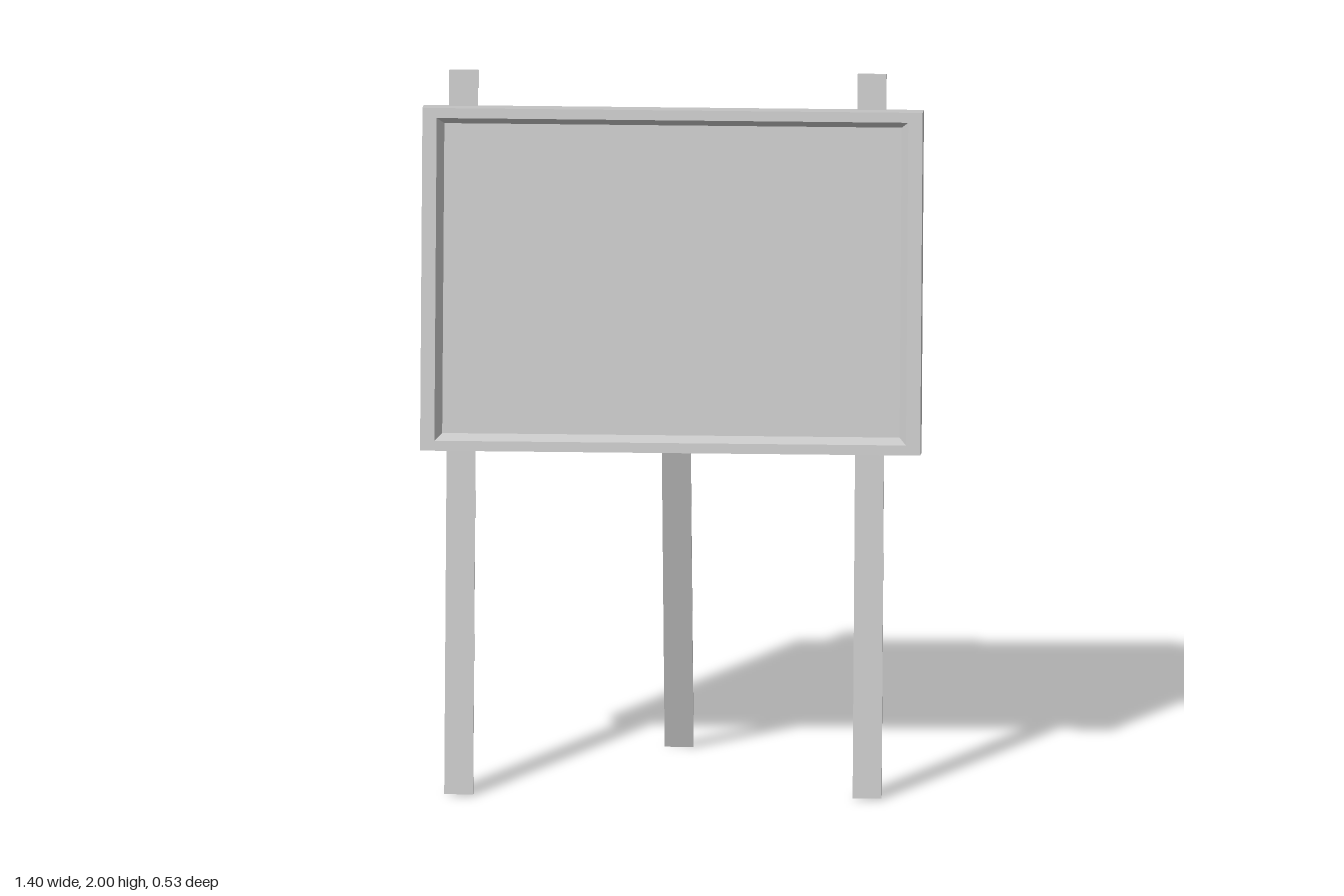
import * as THREE from 'three';

const material = new THREE.MeshStandardMaterial({ color: 0xcccccc, flatShading: true });

// Tray lofted through rectangular rings [halfWidth, halfHeight, z], from the back, round the rim, to the floor
function trayGeometry(rings) {
  const corners = rings.map(([w, h, z]) => [[-w, -h, z], [w, -h, z], [w, h, z], [-w, h, z]]);
  const positions = [];
  const quad = (a, b, c, d) => positions.push(...a, ...b, ...c, ...a, ...c, ...d);
  for (let r = 0; r < corners.length - 1; r++) {
    for (let i = 0; i < 4; i++) {
      const j = (i + 1) % 4;
      quad(corners[r][i], corners[r][j], corners[r + 1][j], corners[r + 1][i]);
    }
  }
  quad(...[...corners[0]].reverse());
  quad(...corners[corners.length - 1]);
  const geometry = new THREE.BufferGeometry();
  geometry.setAttribute('position', new THREE.Float32BufferAttribute(positions, 3));
  geometry.computeVertexNormals();
  return geometry;
}

// Flat slat whose centre line runs between two points [y, z]
function slat(name, x, [y0, z0], [y1, z1]) {
  const length = Math.hypot(y1 - y0, z1 - z0);
  const mesh = new THREE.Mesh(new THREE.BoxGeometry(0.081, length, 0.015), material);
  mesh.name = name;
  mesh.position.set(x, (y0 + y1) / 2, (z0 + z1) / 2);
  mesh.rotation.x = Math.atan2(z1 - z0, y1 - y0);
  return mesh;
}

export function createModel() {
  const group = new THREE.Group();
  group.name = 'easelBoard';

  // Leaning board with a raised frame and bevelled recess
  const board = new THREE.Mesh(trayGeometry([
    [0.70, 0.481, -0.05],
    [0.70, 0.481, 0.05],
    [0.66, 0.453, 0.05],
    [0.64, 0.435, 0.003],
  ]), material);
  board.name = 'framedBoard';
  board.position.set(0, 1.434, 0.015);
  board.rotation.x = -0.193;
  group.add(board);

  // Front legs run up through the board and show above it
  group.add(slat('rightFrontLeg', -0.588, [0.0015, 0.254], [1.9985, -0.13]));
  group.add(slat('leftFrontLeg', 0.555, [0.0015, 0.254], [1.9985, -0.13]));

  // Rear prop, slightly off centre
  group.add(slat('rearLeg', 0.01, [0.002, -0.259], [1.185, 0.017]));

  return group;
}
